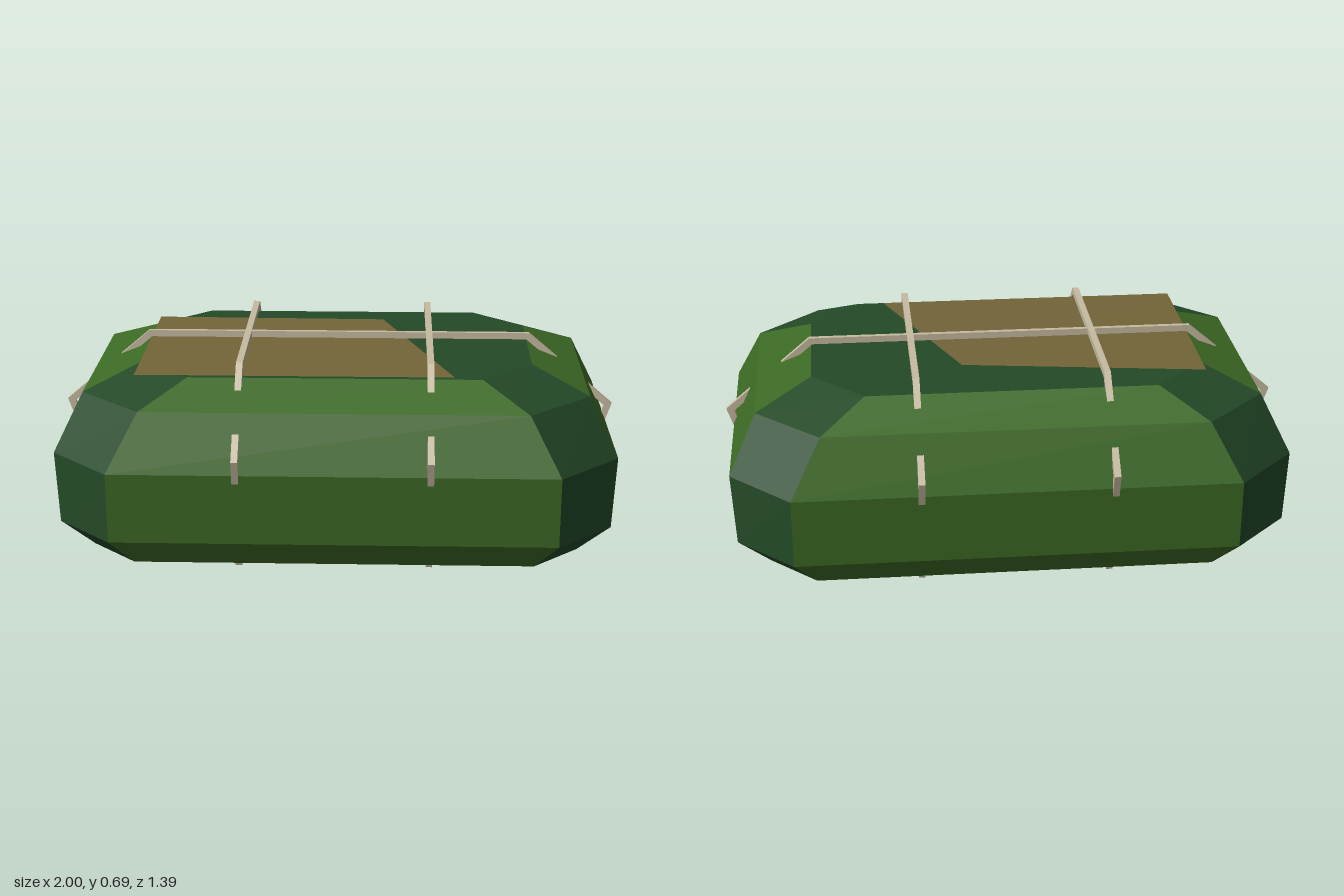
import * as THREE from 'three';

const material = (name, color, side = THREE.FrontSide) =>
  Object.assign(new THREE.MeshStandardMaterial({ color, side }), { name });

// Stretched octagon: half sizes hx, hz; straight sides end at cx, cz
function ring([y, hx, cx, hz, cz]) {
  return [
    [cx, hz], [hx, cz], [hx, -cz], [cx, -hz],
    [-cx, -hz], [-hx, -cz], [-hx, cz], [-cx, hz],
  ].map(([x, z]) => [x, y, z]);
}

function facetMesh(name, triangles, mat) {
  const geometry = new THREE.BufferGeometry();
  geometry.setAttribute('position', new THREE.Float32BufferAttribute(triangles.flat(), 3));
  geometry.computeVertexNormals();
  const mesh = new THREE.Mesh(geometry, mat);
  mesh.name = name;
  return mesh;
}

// Bent strap following the outline of half length given by [across, y] points
function strap(name, outer, inner, width, mat) {
  const mirror = (pts) => pts.map(([a, y]) => [-a, y]);
  const outline = [
    ...outer, ...mirror(outer).reverse(),
    ...mirror(inner), ...[...inner].reverse(),
  ];
  const shape = new THREE.Shape(outline.map(([a, y]) => new THREE.Vector2(a, y)));
  const geometry = new THREE.ExtrudeGeometry(shape, { depth: width, bevelEnabled: false });
  geometry.translate(0, 0, -width / 2);
  const mesh = new THREE.Mesh(geometry, mat);
  mesh.name = name;
  return mesh;
}

export function createModel() {
  const model = new THREE.Group();
  model.name = 'strappedBundle';
  const green = material('leaf green', 0x3c6a25);
  const darkGreen = material('deep green', 0x244a28);
  const tan = material('patch brown', 0x736539, THREE.DoubleSide);
  const beige = material('strap beige', 0xc6baa0);

  // Bundle body: stacked rings [y, hx, cx, hz, cz]
  const rings = [
    [0.01, 0.85, 0.69, 0.575, 0.415],
    [0.115, 0.96, 0.765, 0.66, 0.465],
    [0.365, 0.975, 0.765, 0.672, 0.455],
    [0.56, 0.88, 0.66, 0.59, 0.37],
    [0.638, 0.685, 0.505, 0.44, 0.25],
  ].map(ring);
  const sides = [];
  const corners = [];
  for (let r = 0; r < rings.length - 1; r++) {
    const lower = rings[r];
    const upper = rings[r + 1];
    for (let i = 0; i < 8; i++) {
      const j = (i + 1) % 8;
      const target = i % 2 ? sides : corners;
      target.push(lower[i], lower[j], upper[j], lower[i], upper[j], upper[i]);
    }
  }

  // Flat top and underside
  const top = [];
  const base = [];
  const first = rings[0];
  const last = rings[rings.length - 1];
  for (let i = 1; i < 7; i++) {
    top.push(last[0], last[i], last[i + 1]);
    base.push(first[0], first[i + 1], first[i]);
  }
  model.add(
    facetMesh('sidePanels', sides, green),
    facetMesh('cornerPanels', corners, darkGreen),
    facetMesh('topPanel', top, darkGreen),
    facetMesh('basePanel', base, darkGreen),
  );

  // Loose cloth patch lying on the top, one corner lifted
  const a = [-0.69, 0.642, -0.33];
  const b = [0.16, 0.66, -0.25];
  const c = [0.41, 0.642, 0.43];
  const d = [-0.69, 0.642, 0.43];
  model.add(facetMesh('clothPatch', [a, d, b, d, c, b], tan));

  // One lengthwise strap and two crosswise straps
  model.add(strap('longStrap',
    [[0.855, 0], [1, 0.42], [0.69, 0.683]],
    [[0.83, 0], [0.972, 0.412], [0.68, 0.66]], 0.018, beige));
  for (const side of [-1, 1]) {
    const cross = strap(side < 0 ? 'rightCrossStrap' : 'leftCrossStrap',
      [[0.57, 0], [0.696, 0.42], [0.415, 0.685]],
      [[0.545, 0], [0.668, 0.412], [0.405, 0.662]], 0.023, beige);
    cross.rotation.y = Math.PI / 2;
    cross.position.x = side * 0.328;
    model.add(cross);
  }
  return model;
}
